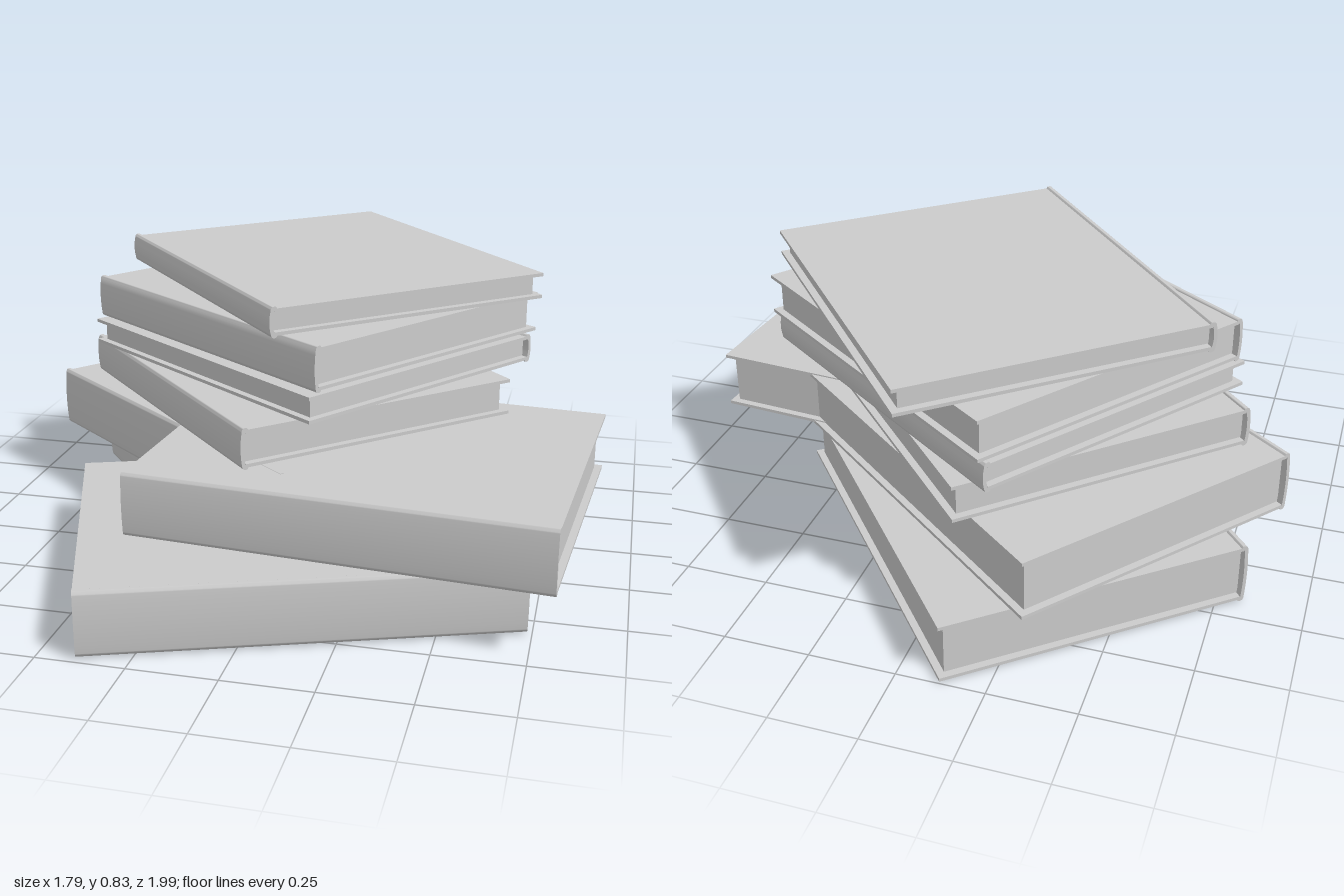
import * as THREE from 'three';
import { toCreasedNormals } from 'three/addons/utils/BufferGeometryUtils.js';

const material = new THREE.MeshStandardMaterial({ color: 0xcccccc });

const LIP = 0.006;    // how far the spine stands above the covers
const BOARD = 0.01;   // cover thickness
const INSET = 0.021;  // covers overhang the pages by this much

// Curved shell wrapping the back of the book, extruded along its length
function spineGeometry(height, length) {
  const t = 0.008, r = 0.012, flap = 0.024;
  const s = new THREE.Shape();
  s.moveTo(flap, LIP);
  s.quadraticCurveTo(flap - 0.002, 0, flap - 0.007, 0);
  s.lineTo(r + 0.004, 0);
  s.quadraticCurveTo(0.005, 0, 0.004, r);
  s.quadraticCurveTo(-0.004, height / 2, 0.004, height - r);
  s.quadraticCurveTo(0.005, height, r + 0.004, height);
  s.lineTo(flap - 0.007, height);
  s.quadraticCurveTo(flap - 0.002, height, flap, height - LIP);
  // inner face
  s.lineTo(flap, height - LIP - t);
  s.lineTo(r + 0.003, height - LIP - t);
  s.quadraticCurveTo(t - 0.002, height / 2, r + 0.003, LIP + t);
  s.lineTo(flap, LIP + t);
  s.closePath();
  const g = new THREE.ExtrudeGeometry(s, { depth: length, bevelEnabled: false, curveSegments: 8 });
  return toCreasedNormals(g, 0.7);
}

// Origin at one end of the spine: x runs to the fore edge, z along the spine
function makeBook({ name, x, z, y, height, width, length, angle }) {
  const book = new THREE.Group();
  book.name = name;
  const add = (part, geometry, px = 0, py = 0, pz = 0) => {
    const mesh = new THREE.Mesh(geometry, material);
    mesh.name = part;
    mesh.position.set(px, py, pz);
    book.add(mesh);
  };

  add('spine', spineGeometry(height, length));

  // front and back boards
  const start = 0.016;
  const board = new THREE.BoxGeometry(width - start, BOARD, length);
  const boardX = (width + start) / 2;
  add('bottomCover', board, boardX, LIP + BOARD / 2, length / 2);
  add('topCover', board, boardX, height - LIP - BOARD / 2, length / 2);

  // page block, set back on three sides
  const back = 0.013;
  const pageHeight = height - 2 * (LIP + BOARD) + 0.002;
  add('pages', new THREE.BoxGeometry(width - INSET - back, pageHeight, length - 2 * INSET),
    (width - INSET + back) / 2, height / 2, length / 2);

  book.position.set(x, y, z);
  book.rotation.y = THREE.MathUtils.degToRad(angle);
  return book;
}

export function createModel() {
  const model = new THREE.Group();
  model.name = 'bookStack';

  const large = { width: 0.917, length: 1.2, height: 0.19 };
  const small = { width: 0.913, length: 1.045 };
  const books = [
    // two layers of large books, laid across each other in pairs
    { ...large, name: 'bottomFrontBook', x: -0.39, z: 0.99, y: 0.004, angle: 109.8 },
    { ...large, name: 'bottomBackBook', x: -0.828, z: -0.413, y: 0, angle: 39.8 },
    { ...large, name: 'secondFrontBook', x: -0.382, z: 0.642, y: 0.197, angle: 85 },
    { ...large, name: 'secondBackBook', x: -0.897, z: -0.206, y: 0.193, angle: 51.3 },
    // smaller books on top
    { ...small, name: 'thirdBook', x: -0.775, z: -0.21, y: 0.388, height: 0.122, angle: 43 },
    { ...small, name: 'fourthBook', x: 0.65, z: -0.24, y: 0.513, height: 0.089, angle: -125.7 },
    { ...small, name: 'fifthBook', x: -0.72, z: -0.118, y: 0.604, height: 0.133, angle: 54.4 },
    { ...small, name: 'topBook', x: -0.682, z: -0.342, y: 0.739, height: 0.089, width: 0.903, angle: 40.4 },
  ];
  for (const b of books) model.add(makeBook(b));
  return model;
}
